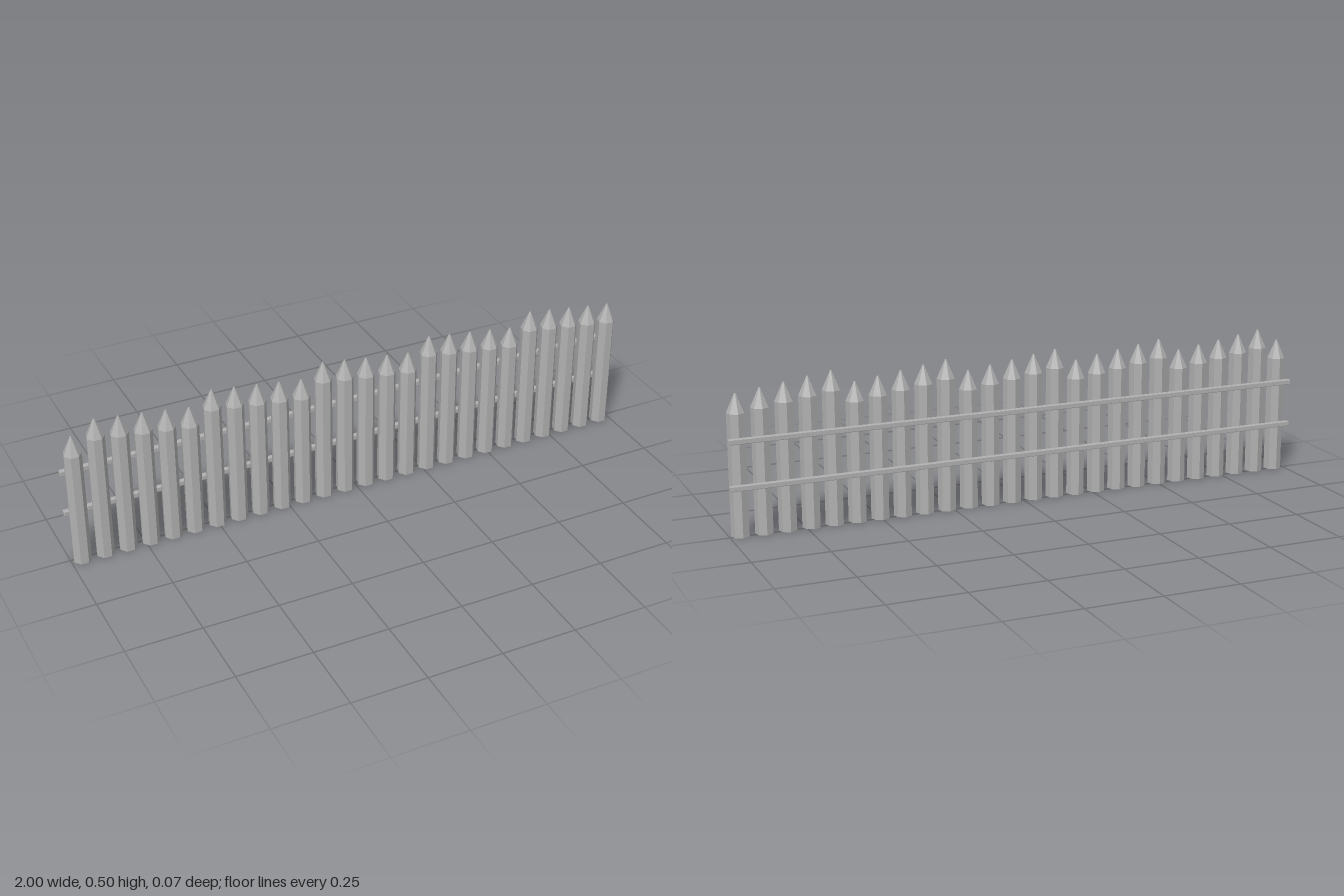
import * as THREE from 'three';
import { RoundedBoxGeometry } from 'three/addons/geometries/RoundedBoxGeometry.js';

export function createModel() {
  const group = new THREE.Group();
  group.name = 'palisadeFence';
  const wood = new THREE.MeshStandardMaterial({ color: 0xb0b0b0, flatShading: true });
  wood.name = 'greyWood';

  // Pointed seven-sided stakes, stepping down in height in runs of five
  const count = 26, radius = 0.03, tip = 0.062;
  for (let i = 0; i < count; i++) {
    const height = 0.461 + ((5 - (i % 5)) % 5) * 0.0107;
    // the point is very slightly blunted
    const profile = [[0, 0], [radius, 0], [radius, height - tip], [0.0025, height], [0, height]]
      .map(([x, y]) => new THREE.Vector2(x, y));
    // a corner points backwards, a flat side faces the front
    const stake = new THREE.Mesh(new THREE.LatheGeometry(profile, 7, Math.PI), wood);
    stake.name = `stake${i + 1}`;
    stake.position.set(-0.963 + (i * 1.926) / (count - 1), 0, 0.0085);
    group.add(stake);
  }

  // Two square rails with chamfered edges behind the stakes
  [['lowerRail', 0.166], ['upperRail', 0.316]].forEach(([name, y]) => {
    const rail = new THREE.Mesh(new RoundedBoxGeometry(2, 0.017, 0.017, 1, 0.002), wood);
    rail.name = name;
    rail.position.set(0, y, -0.0265);
    group.add(rail);
  });

  return group;
}
